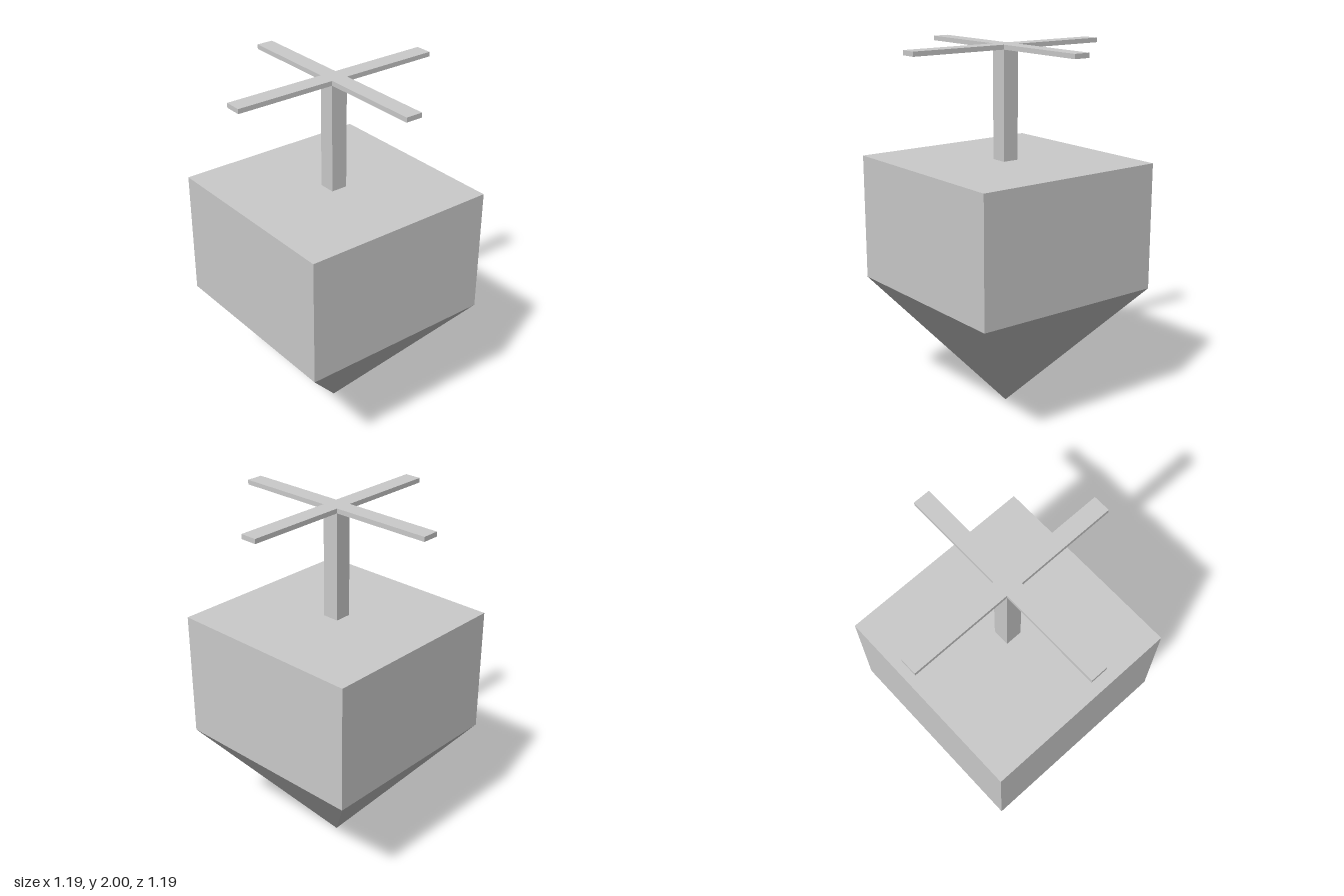
import * as THREE from 'three';

const HALF = 0.55;       // half width of the body
const SHOULDER = 0.7;    // where the point meets the body
const BODY_TOP = 1.39;
const BAR = 0.046;       // half width of the stem and the bars
const REACH = 0.595;     // half length of the bars
const BAR_BOTTOM = 1.975;
const TOP = 2;

export function createModel() {
  const model = new THREE.Group();
  model.name = 'spinningTop';
  const material = new THREE.MeshStandardMaterial({ color: 0xcccccc, flatShading: true });

  const add = (name, geometry, y) => {
    const mesh = new THREE.Mesh(geometry, material);
    mesh.name = name;
    mesh.position.y = y;
    model.add(mesh);
  };
  // Square block standing between two heights
  const addBlock = (name, half, bottom, top) =>
    add(name, new THREE.BoxGeometry(2 * half, top - bottom, 2 * half), (bottom + top) / 2);

  // Inverted four-sided point
  const point = new THREE.CylinderGeometry(HALF * Math.SQRT2, 0, SHOULDER, 4, 1, true);
  point.rotateY(Math.PI / 4);
  add('point', point, SHOULDER / 2);

  // Square body and stem
  addBlock('body', HALF, SHOULDER, BODY_TOP);
  addBlock('stem', BAR, BODY_TOP, BAR_BOTTOM);

  // Flat cross handle, one outline made of four equal arms
  const outline = [];
  for (let i = 0; i < 4; i++) {
    const centre = new THREE.Vector2();
    for (const [x, y] of [[REACH, -BAR], [REACH, BAR], [BAR, BAR]]) {
      outline.push(new THREE.Vector2(x, y).rotateAround(centre, i * Math.PI / 2));
    }
  }
  const cross = new THREE.ExtrudeGeometry(new THREE.Shape(outline), {
    depth: TOP - BAR_BOTTOM,
    bevelEnabled: false,
  });
  cross.rotateX(-Math.PI / 2);
  add('crossHandle', cross, BAR_BOTTOM);

  return model;
}
